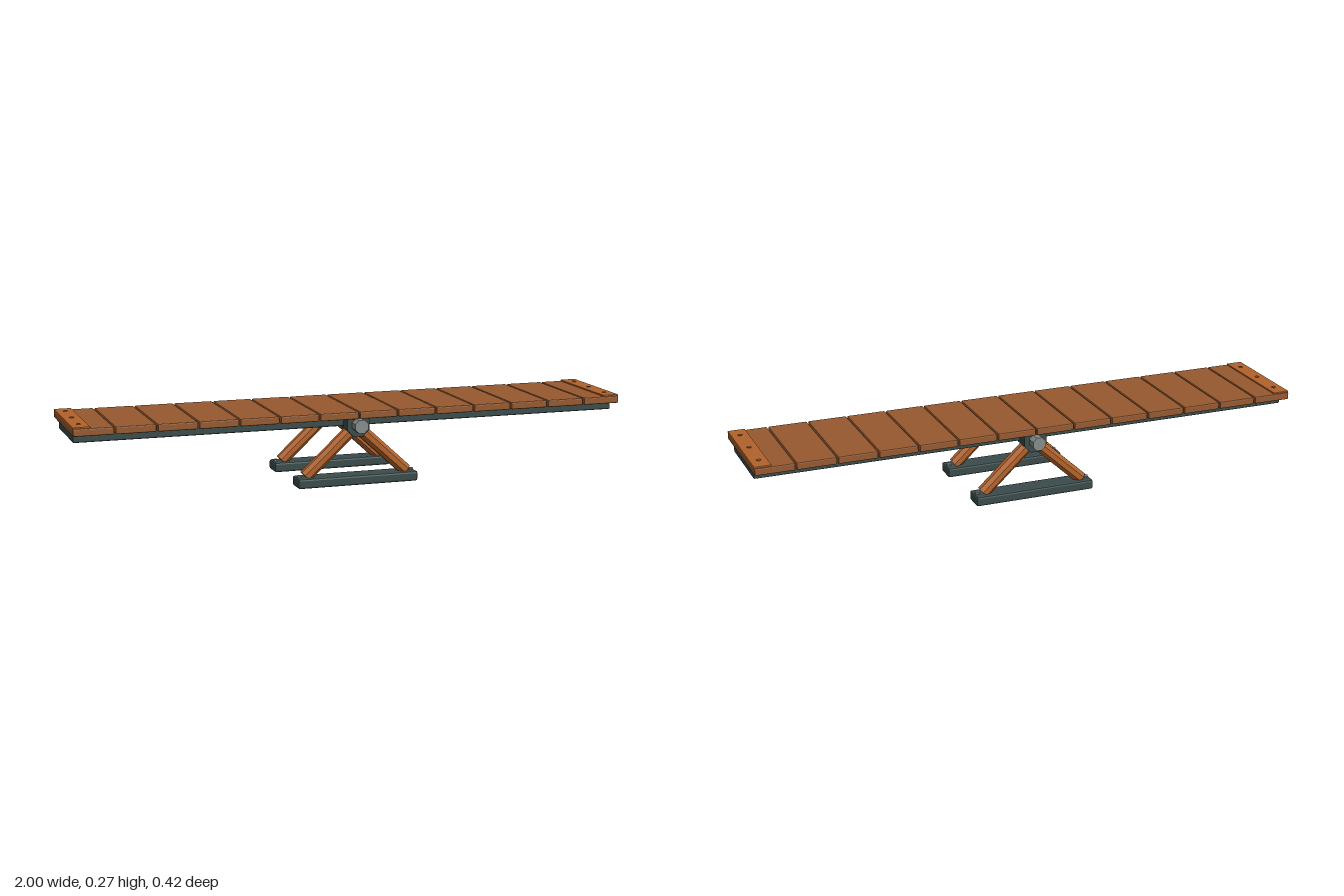
import * as THREE from 'three';
import { RoundedBoxGeometry } from 'three/addons/geometries/RoundedBoxGeometry.js';

function material(name, color) {
  const m = new THREE.MeshStandardMaterial({ color, flatShading: true });
  m.name = name;
  return m;
}

export function createModel() {
  const model = new THREE.Group();
  model.name = 'seesaw';
  const plankWood = material('plank brown', 0x96592f);
  const paleWood = material('orange wood', 0xb2622a);
  const slate = material('dark slate', 0x3a4a4a);
  const steel = material('grey metal', 0x848c89);

  function add(name, geometry, mat, x, y, z) {
    const mesh = new THREE.Mesh(geometry, mat);
    mesh.name = name;
    mesh.position.set(x, y, z);
    model.add(mesh);
    return mesh;
  }
  // Box with chamfered edges
  const block = (w, h, d, r) => new RoundedBoxGeometry(w, h, d, 1, r);
  // Octagonal bar with flat sides facing along the axes; r is the flat radius
  const octagon = (r, length) => {
    const R = r / Math.cos(Math.PI / 8);
    return new THREE.CylinderGeometry(R, R, length, 8).rotateY(Math.PI / 8);
  };

  // Supporting beam under the deck
  add('beam', block(1.98, 0.031, 0.27, 0.005), slate, 0, 0.2195, 0);

  // Deck planks
  const count = 14, pitch = 2 / count;
  for (let i = 0; i < count; i++) {
    add('plank', block(pitch - 0.005, 0.026, 0.37, 0.004), plankWood,
      -1 + pitch * (i + 0.5), 0.248, 0);
  }

  // End battens with their fixings
  for (const sx of [-1, 1]) {
    add('endBatten', block(0.06, 0.012, 0.362, 0.002), paleWood, sx * 0.968, 0.26, 0);
    for (const z of [-0.125, 0, 0.125]) {
      add('battenPeg', new THREE.CylinderGeometry(0.008, 0.008, 0.008, 8), plankWood,
        sx * 0.968, 0.264, z);
    }
  }

  // Pivot axle
  add('axle', octagon(0.0235, 0.424).rotateX(Math.PI / 2), steel, 0, 0.2125, 0);

  // A-frame supports on both sides
  const up = new THREE.Vector3(0, 1, 0);
  for (const sz of [-1, 1]) {
    const z = sz * 0.144;
    add('axleCollar', octagon(0.041, 0.064).rotateX(Math.PI / 2), slate, 0, 0.2125, z);
    add('foot', block(0.44, 0.035, 0.076, 0.007), slate, 0, 0.0175, z);
    for (const sx of [-1, 1]) {
      const base = new THREE.Vector3(sx * 0.185, 0.036, z);
      const top = new THREE.Vector3(sx * 0.012, 0.195, z);
      const dir = top.clone().sub(base);
      const mid = top.clone().add(base).multiplyScalar(0.5);
      const leg = add('leg', octagon(0.021, dir.length()), paleWood, mid.x, mid.y, mid.z);
      leg.quaternion.setFromUnitVectors(up, dir.normalize());
      add('footBolt', new THREE.CylinderGeometry(0.009, 0.009, 0.008, 8), steel,
        sx * 0.206, 0.037, z);
    }
  }
  return model;
}
